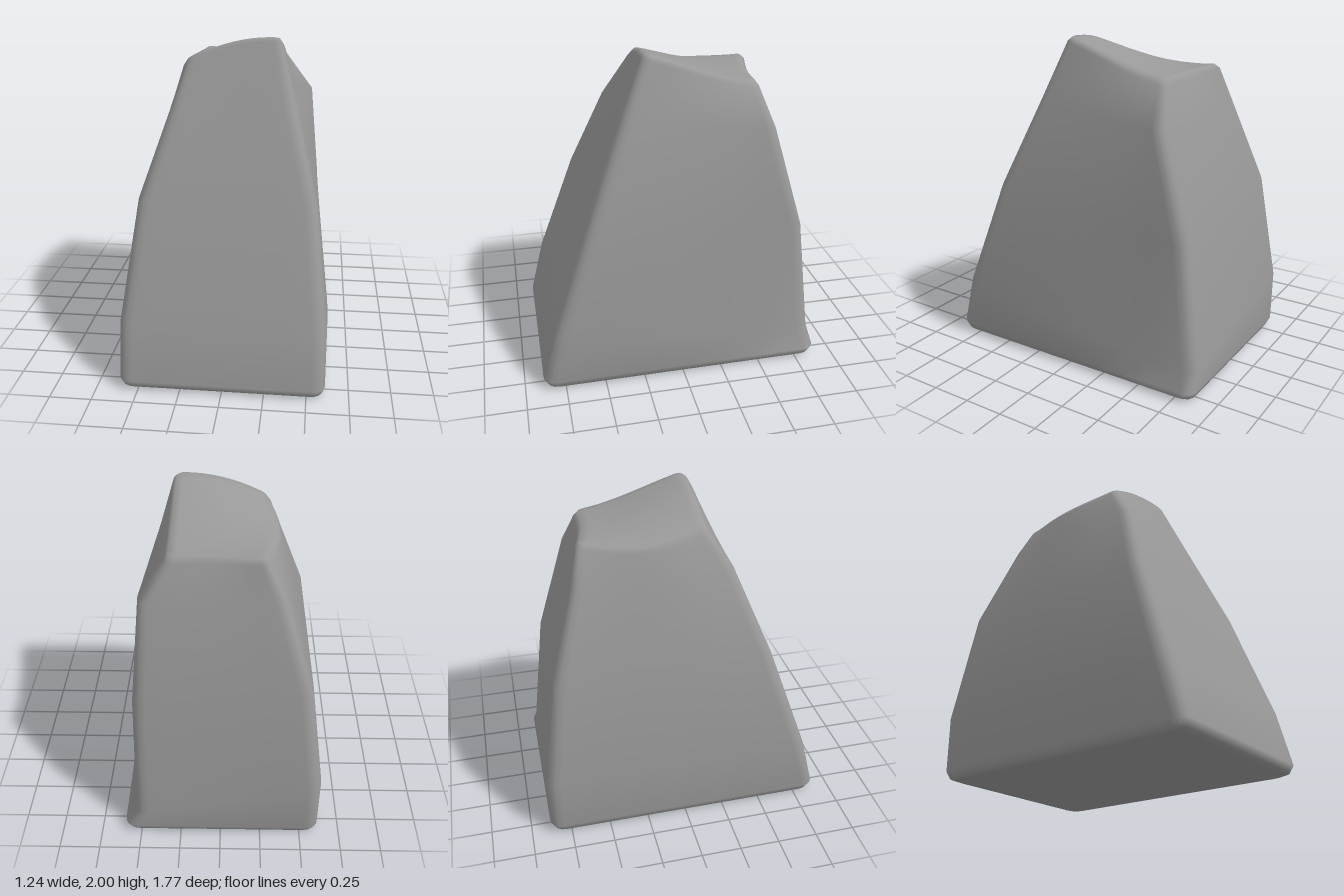
import * as THREE from 'three';

const EDGE_STEPS = 8;

// One cross-section: corners run front +x, back +x, back -x, front -x.
// bulge[k] = [x, y, z] offset at the middle of the edge after corner k.
function makeRing(corners, radius, bulge = {}) {
  const c = corners.map((p) => new THREE.Vector3(...p));
  const toward = (a, b) => b.clone().sub(a).setLength(radius).add(a);
  const ring = [];
  for (let k = 0; k < 4; k++) {
    const here = c[k], next = c[(k + 1) % 4], prev = c[(k + 3) % 4];
    // rounded corner
    const bend = new THREE.QuadraticBezierCurve3(toward(here, prev), here, toward(here, next));
    ring.push(...bend.getPoints(4));
    // edge up to the next corner
    const start = toward(here, next), end = toward(next, here);
    const push = new THREE.Vector3(...(bulge[k] || [0, 0, 0]));
    for (let i = 1; i < EDGE_STEPS; i++) {
      const t = i / EDGE_STEPS;
      ring.push(start.clone().lerp(end, t).addScaledVector(push, Math.sin(Math.PI * t)));
    }
  }
  return ring;
}

// Height of the saddle-shaped top: highest at the front +x corner
function topHeight(x, z) {
  const u = (x + 0.28) / 0.57, v = (0.18 - z) / 0.7;
  const front = THREE.MathUtils.lerp(1.855, 2.0, u) + 0.18 * u * (1 - u);
  const back = THREE.MathUtils.lerp(1.825, 1.8, u);
  return THREE.MathUtils.lerp(front, back, v) - 0.15 * v * v * (1 - v);
}

// Skin a stack of rings, listed from the bottom centre to the top centre
function skin(rings) {
  const n = rings[0].length, last = rings.length - 2, positions = [], index = [];
  rings.forEach((ring) => ring.forEach((p) => positions.push(p.x, p.y, p.z)));
  for (let r = 0; r <= last; r++) {
    for (let i = 0; i < n; i++) {
      const a = r * n + i, b = r * n + ((i + 1) % n);
      const c = b + n, d = a + n;
      if (r > 0) index.push(a, b, c);
      if (r < last) index.push(a, c, d);
    }
  }
  const geometry = new THREE.BufferGeometry();
  geometry.setAttribute('position', new THREE.Float32BufferAttribute(positions, 3));
  geometry.setIndex(index);
  geometry.computeVertexNormals();
  return geometry;
}

export function createModel() {
  const group = new THREE.Group();
  group.name = 'rock';

  // Tapering body; the back +x corner is pinched in just above the foot
  const foot = makeRing([[0.61, 0.06, 0.885], [0.6, 0.06, -0.88], [-0.615, 0.06, -0.88], [-0.615, 0.06, 0.885]], 0.08);
  const sides = [
    makeRing([[0.615, 0.4, 0.8], [0.53, 0.15, -0.86], [-0.62, 0.4, -0.885], [-0.62, 0.4, 0.8]], 0.09, { 0: [0.035, 0, 0] }),
    makeRing([[0.535, 1.08, 0.56], [0.52, 0.92, -0.765], [-0.535, 1.08, -0.79], [-0.535, 1.08, 0.56]], 0.08),
    makeRing([[0.39, 1.6, 0.35], [0.475, 1.55, -0.58], [-0.37, 1.6, -0.63], [-0.36, 1.6, 0.35]], 0.07, { 2: [-0.03, 0, 0] }),
  ];

  // Soft rim, just under the edge of the top
  const rim = makeRing([[0.295, 0, 0.195], [0.315, 0, -0.51], [-0.27, 0, -0.58], [-0.295, 0, 0.195]], 0.05,
    { 1: [0, 0, 0.02], 2: [-0.065, 0, 0] });
  rim.forEach((p) => { p.y = topHeight(p.x, p.z) - 0.03; });

  const flat = (s, y) => foot.map((p) => new THREE.Vector3(p.x * s, y, p.z * s));
  const cap = (s) => rim.map((p) => {
    const x = p.x * s, z = -0.17 + (p.z + 0.17) * s;
    return new THREE.Vector3(x, topHeight(x, z), z);
  });

  const rings = [
    flat(0, 0), flat(0.5, 0), flat(0.93, 0), flat(0.975, 0.015),
    foot, ...sides, rim,
    ...[0.93, 0.8, 0.6, 0.4, 0.2, 0].map(cap),
  ];

  const body = new THREE.Mesh(skin(rings), new THREE.MeshStandardMaterial({ color: 0x999999 }));
  body.name = 'rockBody';
  group.add(body);
  return group;
}
